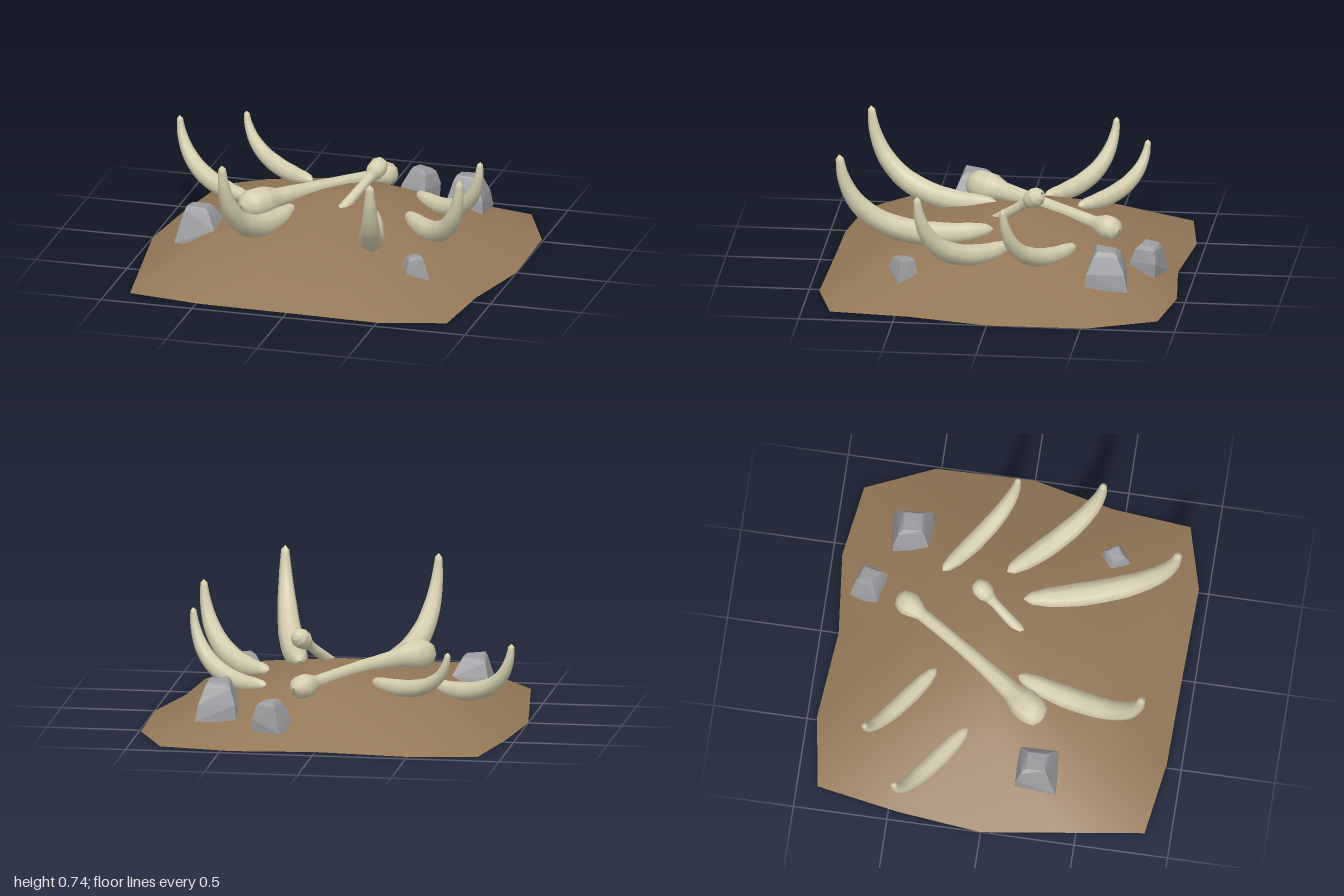
import * as THREE from 'three';
import { mergeVertices } from 'three/addons/utils/BufferGeometryUtils.js';
import { ConvexGeometry } from 'three/addons/geometries/ConvexGeometry.js';

const bone = new THREE.MeshStandardMaterial({ color: 0xd6cfb0 });
const earth = new THREE.MeshStandardMaterial({ color: 0x947857 });
const stone = new THREE.MeshStandardMaterial({ color: 0x9c9ca0, flatShading: true });

function add(parent, name, geometry, material) {
  const mesh = new THREE.Mesh(geometry, material);
  mesh.name = name;
  parent.add(mesh);
  return mesh;
}

// Radius at u, from a list of [u, radius] stations
function radiusAt(stations, u) {
  for (let i = 1; i < stations.length; i++) {
    const [u0, r0] = stations[i - 1], [u1, r1] = stations[i];
    if (u <= u1) return r0 + (r1 - r0) * (u - u0) / (u1 - u0);
  }
  return stations[stations.length - 1][1];
}

// Tube whose rings swell and shrink along the path, closed at both ends
function taperedTube(points, stations, scale = 1, sides = 8, segments = 50) {
  const curve = new THREE.CatmullRomCurve3(points);
  const geometry = new THREE.TubeGeometry(curve, segments, 1, sides);
  const pos = geometry.attributes.position, v = new THREE.Vector3();
  for (let i = 0; i < pos.count; i++) {
    const u = Math.floor(i / (sides + 1)) / segments;
    const centre = curve.getPointAt(u);
    v.fromBufferAttribute(pos, i).sub(centre).multiplyScalar(radiusAt(stations, u) * scale).add(centre);
    pos.setXYZ(i, v.x, v.y, v.z);
  }
  geometry.deleteAttribute('uv');
  geometry.deleteAttribute('normal');
  const merged = mergeVertices(geometry, 1e-5);
  merged.computeVertexNormals();
  return merged;
}

// Mound: 5 x 5 grid of [x, y, z], back row first, with a flat underside
function addMound(parent) {
  const rows = [
    [[-0.87, 0, -0.89], [-0.48, 0, -0.95], [0, 0, -0.905], [0.44, 0, -0.95], [0.83, 0, -0.89]],
    [[-0.95, 0, -0.45], [-0.5, 0.21, -0.48], [0, 0.27, -0.48], [0.48, 0.2, -0.48], [0.99, 0, -0.53]],
    [[-1, 0, 0], [-0.52, 0.24, 0], [0, 0.335, -0.08], [0.5, 0.21, 0], [1, 0, 0]],
    [[-0.94, 0, 0.43], [-0.56, 0.2, 0.54], [-0.02, 0.21, 0.5], [0.5, 0.17, 0.56], [0.9, 0, 0.43]],
    [[-0.88, 0, 0.86], [-0.48, 0, 0.92], [0, 0, 0.93], [0.52, 0, 0.945], [0.86, 0, 0.85]],
  ];
  const index = [];
  for (let r = 0; r < 4; r++) for (let c = 0; c < 4; c++) {
    const a = r * 5 + c, b = a + 1, d = a + 5, e = a + 6;
    // diagonals run towards the peak
    if ((r < 2) === (c < 2)) index.push(a, d, e, a, e, b);
    else index.push(a, d, b, b, d, e);
  }
  const top = new THREE.BufferGeometry();
  top.setAttribute('position', new THREE.Float32BufferAttribute(rows.flat(2), 3));
  top.setIndex(index);
  top.computeVertexNormals();
  add(parent, 'mound', top, earth);

  const rim = [...rows[0], rows[1][4], rows[2][4], rows[3][4], ...[...rows[4]].reverse(),
    rows[3][0], rows[2][0], rows[1][0]];
  const under = new THREE.ShapeGeometry(new THREE.Shape(rim.map(([x, , z]) => new THREE.Vector2(x, z))));
  add(parent, 'moundUnderside', under.rotateX(Math.PI / 2), earth);
}

// Rib tusk: runs outward along the ground, then sweeps up to a blunt tip
const tuskPath = [[0, 0.04], [0.27, 0], [0.52, 0.05], [0.74, 0.2], [0.89, 0.44], [0.97, 0.72], [1, 1]];
const tuskRadii = [[0, 0.01], [0.03, 0.5], [0.12, 0.82], [0.28, 1], [0.5, 0.97], [0.7, 0.78],
  [0.88, 0.5], [0.98, 0.32], [1, 0.01]];
function addTusk(parent, root, tip, lowY, tipY, radius) {
  const points = tuskPath.map(([u, v]) => new THREE.Vector3(
    THREE.MathUtils.lerp(root[0], tip[0], u),
    THREE.MathUtils.lerp(lowY, tipY, v),
    THREE.MathUtils.lerp(root[1], tip[1], u)));
  add(parent, 'tusk', taperedTube(points, tuskRadii, radius), bone);
}

// Rock: tapering block with a bevelled, slightly skewed top
function addRock(parent, [x, y, z], size, height, turn, skew) {
  const points = [];
  [[0, 1], [0.45, 0.86], [0.88, 0.62], [1, 0.45]].forEach(([h, w], level) => {
    for (let k = 0; k < 4; k++) {
      const a = Math.PI / 4 + k * Math.PI / 2;
      const wobble = 1 + 0.09 * Math.sin(k * 2.3 + level * 1.7 + turn * 5);
      const r = size * w * wobble * Math.SQRT1_2;
      points.push(new THREE.Vector3(
        Math.cos(a) * r + skew[0] * h * size,
        h * height * (1 + 0.05 * Math.sin(k * 1.9 + turn)),
        Math.sin(a) * r + skew[1] * h * size));
    }
  });
  const rock = add(parent, 'rock', new ConvexGeometry(points), stone);
  rock.position.set(x, y, z);
  rock.rotation.y = turn;
}

export function createModel() {
  const model = new THREE.Group();
  model.name = 'boneMound';
  addMound(model);

  const tusks = new THREE.Group();
  tusks.name = 'tusks';
  model.add(tusks);
  addTusk(tusks, [0.23, 0.05], [0.435, 0.85], 0.265, 0.735, 0.067);
  addTusk(tusks, [-0.2, 0.08], [-0.4, 0.775], 0.265, 0.735, 0.063);
  addTusk(tusks, [0.38, -0.06], [0.8, 0.395], 0.235, 0.635, 0.058);
  addTusk(tusks, [0.34, -0.4], [0.785, -0.06], 0.23, 0.58, 0.05);
  addTusk(tusks, [-0.51, -0.14], [-0.985, -0.468], 0.215, 0.525, 0.05);
  addTusk(tusks, [-0.22, -0.35], [-0.675, -0.67], 0.265, 0.51, 0.047);

  // Long bone lying over the crest, knobbed at both ends
  const longBone = [[-0.44, 0.315, 0.25], [-0.13, 0.31, -0.18], [0.16, 0.27, -0.61]].map(p => new THREE.Vector3(...p));
  add(model, 'longBone', taperedTube(longBone, [[0, 0.01], [0.02, 0.062], [0.07, 0.085], [0.14, 0.083],
    [0.22, 0.055], [0.4, 0.042], [0.6, 0.036], [0.84, 0.036], [0.89, 0.058], [0.93, 0.07], [0.98, 0.052], [1, 0.01]]), bone);

  // Short bone sticking out of the crest
  const shortBone = [[0.04, 0.26, 0.08], [0.12, 0.36, -0.05], [0.215, 0.485, -0.205]].map(p => new THREE.Vector3(...p));
  add(model, 'shortBone', taperedTube(shortBone, [[0, 0.03], [0.3, 0.029], [0.6, 0.026], [0.7, 0.032],
    [0.78, 0.05], [0.9, 0.052], [0.98, 0.032], [1, 0.005]]), bone);

  const rocks = new THREE.Group();
  rocks.name = 'rocks';
  model.add(rocks);
  addRock(rocks, [-0.66, 0.12, 0.25], 0.22, 0.185, 0, [-0.05, 0]);
  addRock(rocks, [0.56, 0.1, -0.59], 0.22, 0.205, 0.05, [0.05, 0]);
  addRock(rocks, [0.25, 0.08, -0.77], 0.165, 0.165, -0.3, [0.05, -0.1]);
  addRock(rocks, [0.575, 0.1, 0.49], 0.13, 0.125, 0.6, [0, 0]);
  return model;
}
